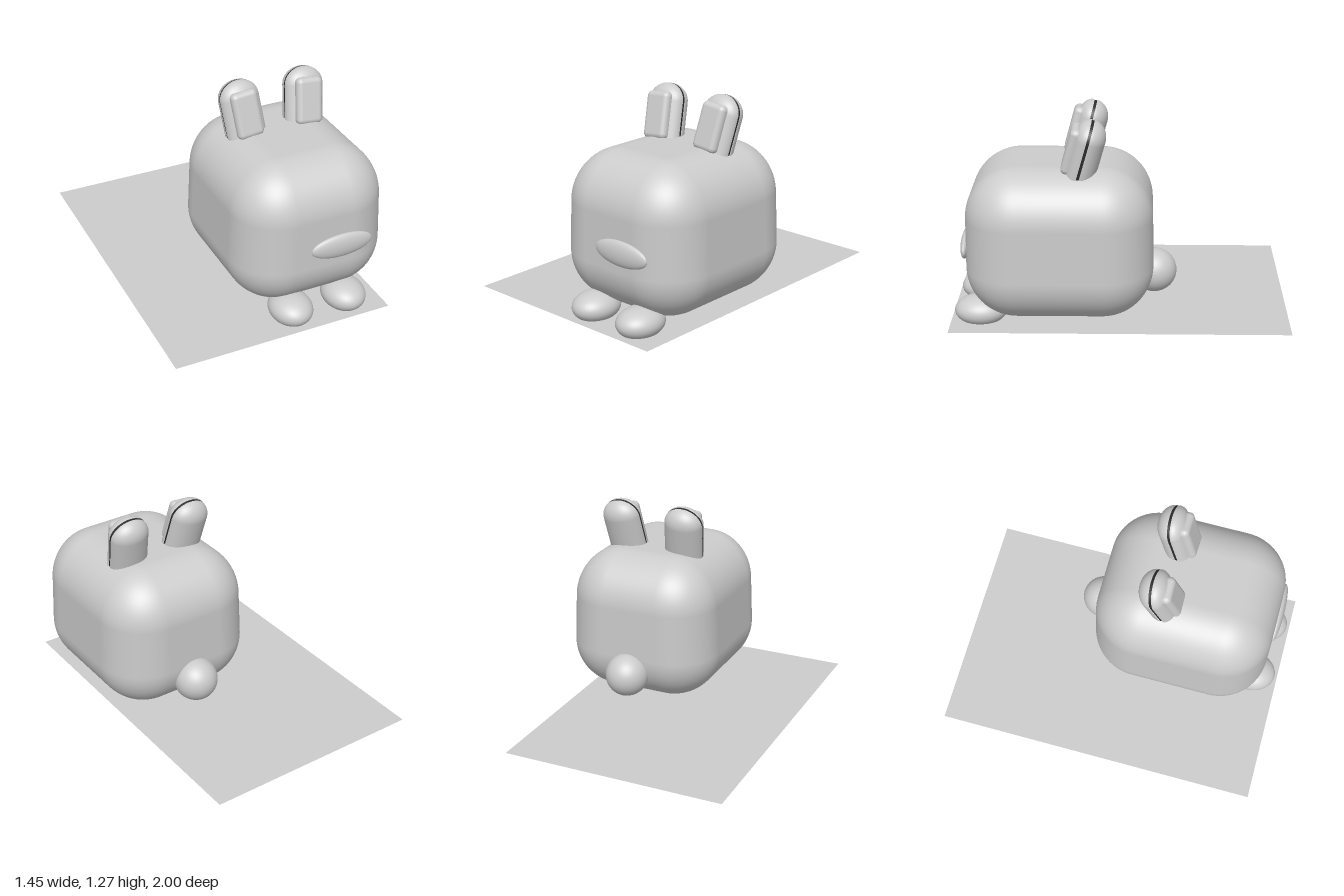
import * as THREE from 'three';
import { RoundedBoxGeometry } from 'three/addons/geometries/RoundedBoxGeometry.js';

const grey = new THREE.MeshStandardMaterial({ color: 0xcccccc });
grey.name = 'light grey';
grey.side = THREE.DoubleSide;
const dark = new THREE.MeshStandardMaterial({ color: 0x2a2a2a });
dark.name = 'dark seam';

const MID = 0.245; // the animal's own centre line

function part(parent, name, geometry, material, x = 0, y = 0, z = 0) {
  const mesh = new THREE.Mesh(geometry, material);
  mesh.name = name;
  mesh.position.set(x, y, z);
  parent.add(mesh);
  return mesh;
}

function ellipsoid(rx, ry, rz) {
  return new THREE.SphereGeometry(1, 40, 28).scale(rx, ry, rz);
}

// Soft block that narrows slightly towards the top
function bodyGeometry() {
  const g = new RoundedBoxGeometry(0.96, 0.905, 1.095, 10, 0.3);
  const p = g.attributes.position;
  for (let i = 0; i < p.count; i++) {
    const t = Math.max(0, p.getY(i) + 0.1);
    p.setX(i, p.getX(i) * (1 - 0.11 * t));
    p.setZ(i, p.getZ(i) * (1 - 0.03 * t));
  }
  return g;
}

// Half of an upright round-topped shell, bulging towards +z
function earHalf(radius, straight, dome, depth) {
  const pts = [new THREE.Vector2(radius, 0)];
  for (let i = 0; i <= 10; i++) {
    const a = (i / 10) * Math.PI / 2;
    pts.push(new THREE.Vector2(radius * Math.cos(a), straight + dome * Math.sin(a)));
  }
  return new THREE.LatheGeometry(pts, 24, -Math.PI / 2, Math.PI).scale(1, 1, depth / radius);
}

// Flat round-topped slab for the seam between the ear halves
function seamGeometry(radius, straight, dome, depth) {
  const s = new THREE.Shape();
  s.moveTo(-radius, 0);
  s.lineTo(radius, 0);
  s.lineTo(radius, straight);
  s.absellipse(0, straight, radius, dome, 0, Math.PI, false);
  s.lineTo(-radius, 0);
  const g = new THREE.ExtrudeGeometry(s, { depth, bevelEnabled: false, curveSegments: 20 });
  return g.translate(0, 0, -depth / 2);
}

function makeEar(side) {
  const ear = new THREE.Group();
  ear.name = side > 0 ? 'leftEar' : 'rightEar';
  part(ear, 'earBack', earHalf(0.122, 0.28, 0.105, 0.092), grey, 0, 0, -0.008).rotation.y = Math.PI;
  part(ear, 'earFront', earHalf(0.122, 0.28, 0.105, 0.075), grey, 0, 0, 0.008);
  part(ear, 'earSeam', seamGeometry(0.118, 0.28, 0.101, 0.018), dark);
  part(ear, 'innerEar', new RoundedBoxGeometry(0.165, 0.28, 0.07, 5, 0.032), grey, 0, 0.19, 0.073);
  ear.position.set(MID + side * 0.183, 0.9, 0.253);
  ear.rotation.set(-0.27, 0, -side * 0.095);
  return ear;
}

export function createModel() {
  const model = new THREE.Group();
  model.name = 'rabbit';

  // Flat mat, lightly pressed into by the feet
  const mat = part(model, 'mat', new THREE.PlaneGeometry(1.365, 2), grey, -0.0475, 0.036, 0);
  mat.rotation.x = -Math.PI / 2;

  part(model, 'body', bodyGeometry(), grey, MID, 0.533, 0.353);
  part(model, 'nose', ellipsoid(0.195, 0.075, 0.032), grey, 0.35, 0.495, 0.902);
  part(model, 'tail', ellipsoid(0.132, 0.132, 0.135), grey, MID, 0.278, -0.2);

  // Paired feet and ears
  for (const side of [-1, 1]) {
    const foot = side > 0 ? 'leftFoot' : 'rightFoot';
    part(model, foot, ellipsoid(0.128, 0.09, 0.155), grey, MID + side * 0.175, 0.091, 0.827);
    model.add(makeEar(side));
  }
  return model;
}
